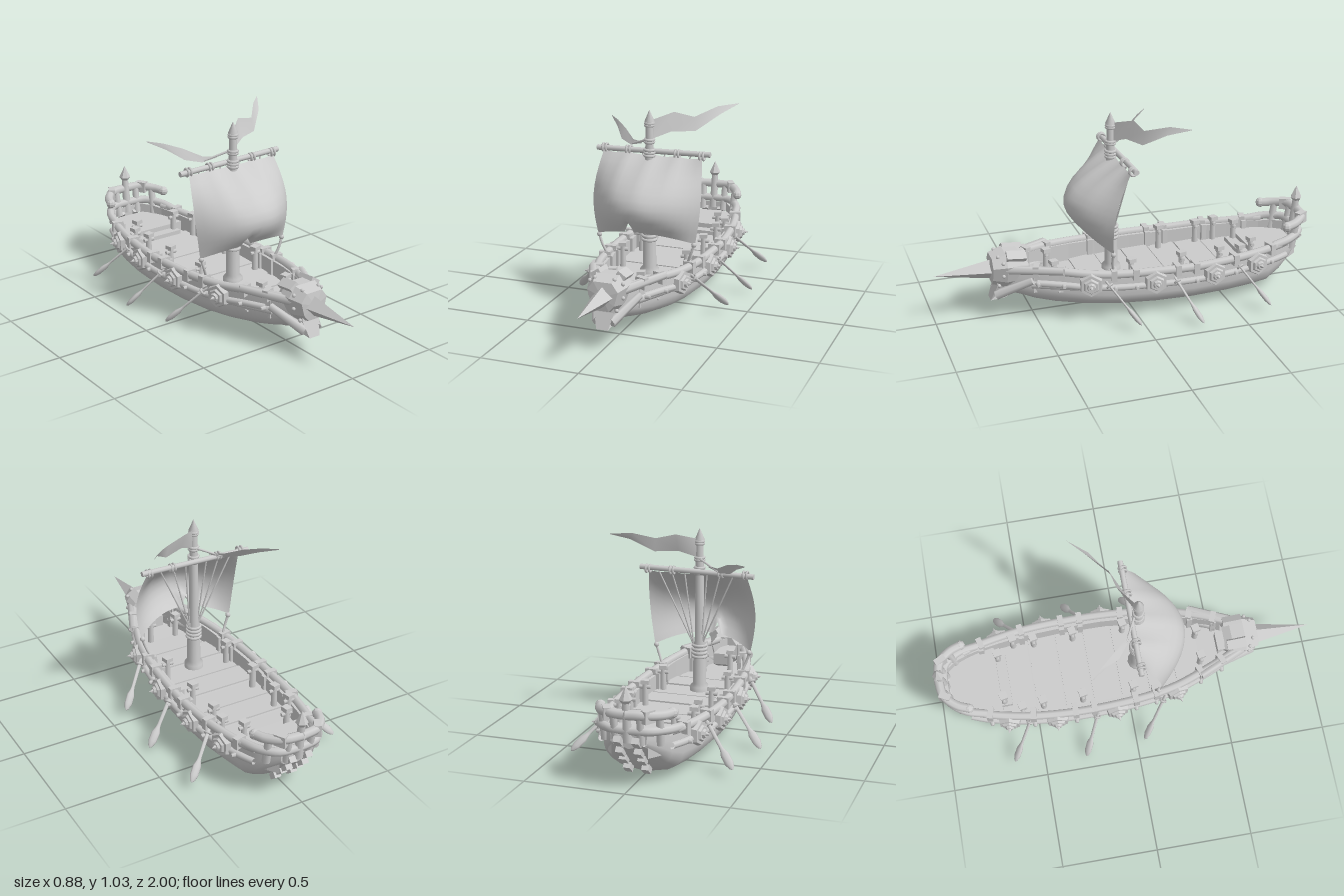
import * as THREE from 'three';

const smooth = new THREE.MeshStandardMaterial({ color: 0xcccccc, side: THREE.DoubleSide });
const flat = new THREE.MeshStandardMaterial({ color: 0xcccccc, side: THREE.DoubleSide, flatShading: true });
const V = (p) => new THREE.Vector3(...p);
const UP = new THREE.Vector3(0, 1, 0);

// Hull stations: z, half width, keel height, rail height
const STATIONS = [
  [0.68, 0.03, 0.17, 0.29], [0.6, 0.07, 0.125, 0.29], [0.5, 0.115, 0.085, 0.285], [0.4, 0.155, 0.06, 0.28],
  [0.25, 0.205, 0.037, 0.265], [0.1, 0.232, 0.022, 0.255], [-0.1, 0.248, 0.01, 0.25], [-0.3, 0.25, 0.005, 0.245],
  [-0.5, 0.237, 0.005, 0.25], [-0.65, 0.213, 0.007, 0.255], [-0.74, 0.193, 0.012, 0.26], [-0.82, 0.168, 0.065, 0.265],
  [-0.88, 0.14, 0.13, 0.27], [-0.94, 0.09, 0.2, 0.275],
];

function hullAt(z) {
  let i = 0;
  while (i < STATIONS.length - 2 && z < STATIONS[i + 1][0]) i++;
  const a = STATIONS[i], b = STATIONS[i + 1], t = (z - a[0]) / (b[0] - a[0]);
  const [w, k, r] = [1, 2, 3].map((j) => a[j] + (b[j] - a[j]) * t);
  return { w, k, r };
}

// Skin through a row of cross-sections
function loft(sections) {
  const n = sections[0].length, idx = [];
  for (let i = 0; i < sections.length - 1; i++)
    for (let j = 0; j < n - 1; j++) {
      const a = i * n + j, b = a + n;
      idx.push(a, b, a + 1, b, b + 1, a + 1);
    }
  const g = new THREE.BufferGeometry();
  g.setAttribute('position', new THREE.Float32BufferAttribute(sections.flat(2), 3));
  g.setIndex(idx);
  g.computeVertexNormals();
  return g;
}

export function createModel() {
  const root = new THREE.Group();
  const add = (name, geo, mat = smooth, pos = [0, 0, 0], parent = root) => {
    const m = new THREE.Mesh(geo, mat);
    m.name = name;
    m.position.set(...pos);
    parent.add(m);
    return m;
  };
  const box = (name, size, pos, rot = [0, 0, 0]) => {
    const m = add(name, new THREE.BoxGeometry(...size), flat, pos);
    m.rotation.set(...rot);
    return m;
  };
  const rod = (name, a, b, r0, r1 = r0, sides = 8) => {
    const d = V(b).sub(V(a));
    const m = add(name, new THREE.CylinderGeometry(r1, r0, d.length(), sides), smooth, V(a).lerp(V(b), 0.5).toArray());
    m.quaternion.setFromUnitVectors(UP, d.normalize());
    return m;
  };
  const tube = (name, pts, r, seg = 40) =>
    add(name, new THREE.TubeGeometry(new THREE.CatmullRomCurve3(pts.map(V)), seg, r, 8), smooth);

  // Hull skin
  const RIB = [[1, 1], [1.02, 0.75], [1.01, 0.5], [0.95, 0.34], [0.82, 0.22], [0.62, 0.13], [0.3, 0.08], [0.07, 0.05]];
  add('hull', loft(STATIONS.map(([z, w, k, r]) => {
    const half = RIB.map(([x, y]) => [x * w, k + y * (r - k), z]);
    return [...half, [0, k, z], ...half.map(([x, y]) => [-x, y, z]).reverse()];
  })));
  const end = STATIONS[STATIONS.length - 1];
  const transom = new THREE.Shape([[-1, 1], [1, 1], [0.95, 0.4], [0, 0], [-0.95, 0.4]]
    .map(([x, y]) => new THREE.Vector2(x * end[1], end[2] + y * (end[3] - end[2]))));
  add('transom', new THREE.ShapeGeometry(transom), flat, [0, 0, end[0]]);

  // Gunwale cap, inner walls and deck
  add('deck', loft(STATIONS.map(([z, w, k, r]) => {
    const y = Math.max(0.17, k + 0.02), half = [[w, r], [w * 0.88, r], [w * 0.88, y]];
    return [...half.map(([x, h]) => [x, h, z]), [0, y, z], ...half.map(([x, h]) => [-x, h, z]).reverse()];
  })), flat);
  for (let i = 0; i < 7; i++) {
    const z = 0.33 - i * 0.15;
    box('deckPlank', [hullAt(z - 0.04).w * 1.72, 0.008, 0.14], [0, 0.172 + (i % 2) * 0.005, z], [0.03, 0, 0]);
  }
  const platform = [-0.68, -0.74, -0.82, -0.88, -0.93];
  add('sternPlatform', loft(platform.map((z) => {
    const w = hullAt(z).w * 0.9;
    return [[w, 0.16, z], [w, 0.225, z], [-w, 0.225, z], [-w, 0.16, z]];
  })), flat);
  box('platformStep', [0.36, 0.055, 0.012], [0, 0.197, -0.68]);
  box('platformTread', [0.28, 0.025, 0.06], [0, 0.187, -0.65]);

  for (const s of [1, -1]) {
    // Rails along the sides
    const zs = [0.62, 0.5, 0.4, 0.25, 0.1, -0.1, -0.3, -0.5, -0.65, -0.76, -0.84];
    tube('upperRail', zs.map((z) => [s * (hullAt(z).w + 0.006), hullAt(z).r + 0.005, z]), 0.022, 60);
    tube('lowerRail', zs.slice(1).map((z) => [s * (hullAt(z).w + 0.014), hullAt(z).r - 0.065, z]), 0.017, 60);
    tube('sternRail', [[s * 0.19, 0.27, -0.76], [s * 0.165, 0.285, -0.86], [s * 0.1, 0.295, -0.94], [0, 0.295, -0.955]], 0.022, 16);

    // Rail clamps and inner ribs
    for (const z of [0.5, 0.38, 0.13, 0.02, -0.2, -0.3, -0.52, -0.74]) {
      const { w, r } = hullAt(z), yaw = -s * Math.atan2(hullAt(z + 0.03).w - hullAt(z - 0.03).w, -0.06);
      box('railClamp', [0.06, 0.058, 0.03], [s * (w + 0.003), r + 0.002, z], [0, yaw, 0]);
      box('rib', [0.025, r - 0.15, 0.028], [s * w * 0.87, (r + 0.17) / 2, z]);
      rod('clampStud', [s * (w + 0.02), r - 0.065, z], [s * (w + 0.045), r - 0.065, z], 0.014, 0.009, 6);
    }

    // Mooring cleats
    for (const [x, z] of [[0.075, 0.4], [0.175, 0.02], [0.175, -0.25], [0.175, -0.46], [0.19, -0.57], [0.12, -0.66]]) {
      rod('cleatPost', [s * x, 0.17, z], [s * x, 0.29, z], 0.017, 0.014, 8);
      rod('cleatBar', [s * (x - 0.03), 0.27, z], [s * (x + 0.03), 0.27, z], 0.01, 0.01, 6);
      box('cleatCap', [0.04, 0.02, 0.04], [s * x, 0.298, z], [0, 0.2, 0.05]);
    }

    // Hexagonal shields with a boss and spike
    for (const z of [0.25, -0.08, -0.4, -0.65]) {
      const { w, r } = hullAt(z), g = new THREE.Group();
      g.name = 'shield';
      g.position.set(s * (w + 0.03), r - 0.047, z);
      g.rotation.y = Math.atan2((hullAt(z - 0.04).w - hullAt(z + 0.04).w) * s, 0.08) * s + (s > 0 ? 0 : Math.PI);
      if (s > 0) g.rotation.y *= -1;
      root.add(g);
      const disc = (name, r0, r1, h, x, sides) => {
        const geo = new THREE.CylinderGeometry(r1, r0, h, sides).rotateY(Math.PI / 2).rotateZ(-Math.PI / 2);
        add(name, geo, flat, [x, 0, 0], g);
      };
      disc('shieldPlate', 0.066, 0.058, 0.026, 0, 6);
      disc('shieldRim', 0.045, 0.036, 0.014, 0.017, 6);
      disc('shieldBoss', 0.026, 0.018, 0.016, 0.028, 8);
      disc('shieldSpike', 0.014, 0, 0.03, 0.043, 6);
    }

    // Oars with flattened blades
    const profile = [[0, 0], [0.01, 0.01], [0.009, 0.17], [0.011, 0.19], [0.021, 0.22], [0.021, 0.27], [0.012, 0.3], [0, 0.312]];
    for (const [a, b] of [[[0.245, 0.24, 0.18], [0.41, 0.045, 0.04]], [[0.262, 0.22, -0.18], [0.44, 0.02, -0.28]],
      [[0.235, 0.235, -0.53], [0.41, 0.045, -0.66]]]) {
      const A = V([a[0] * s, a[1], a[2]]), d = V([b[0] * s, b[1], b[2]]).sub(A);
      const oar = add('oar', new THREE.LatheGeometry(profile.map((p) => new THREE.Vector2(...p)), 10), smooth, A.toArray());
      oar.quaternion.setFromUnitVectors(UP, d.clone().normalize());
      oar.scale.set(0.6, d.length() / 0.312, 1);
      const lock = add('oarLock', new THREE.TorusGeometry(0.015, 0.006, 6, 12), smooth, A.addScaledVector(d, 0.12).toArray());
      lock.quaternion.setFromUnitVectors(new THREE.Vector3(0, 0, 1), d.normalize());
    }

    // Bow guard beams
    rod('bowUpperBeam', [s * 0.07, 0.29, 0.64], [s * 0.19, 0.295, 0.38], 0.025, 0.02, 6);
    rod('bowLowerBeam', [s * 0.035, 0.14, 0.69], [s * 0.115, 0.23, 0.52], 0.026, 0.02, 6);
    rod('bowSideBeam', [s * 0.1, 0.205, 0.52], [s * 0.2, 0.2, 0.3], 0.022, 0.018, 6);
    box('bowEar', [0.05, 0.025, 0.1], [s * 0.065, 0.355, 0.59], [-0.1, 0, -s * 0.6]);
    for (const [x, y, z] of [[0.085, 0.33, 0.66], [0.085, 0.26, 0.66], [0.05, 0.355, 0.68], [0.06, 0.2, 0.68]])
      add('stud', new THREE.SphereGeometry(0.01, 8, 6), smooth, [s * x, y, z]);

    // Stern arch and its posts
    tube('sternArch', [[s * 0.175, 0.36, -0.84], [s * 0.15, 0.365, -0.9], [s * 0.09, 0.375, -0.96], [0, 0.375, -0.975]], 0.024, 16);
    add('archEnd', new THREE.SphereGeometry(0.026, 8, 6), flat, [s * 0.175, 0.36, -0.84]);
    rod('archPost', [s * 0.135, 0.22, -0.885], [s * 0.14, 0.37, -0.91], 0.022, 0.018);
    rod('archPost', [s * 0.06, 0.23, -0.94], [s * 0.065, 0.38, -0.965], 0.02, 0.018);
    box('archClamp', [0.035, 0.06, 0.06], [s * 0.1, 0.37, -0.952], [0, s * 0.5, 0]);

    // Sail sheets and shrouds
    tube('sheetRope', [[s * 0.255, 0.375, 0.14], [s * 0.24, 0.33, 0.14], [s * 0.22, 0.28, 0.13]], 0.007, 8);
    add('sheetKnot', new THREE.SphereGeometry(0.014, 8, 6), smooth, [s * 0.255, 0.38, 0.14]);
    for (const x of [0.06, 0.13, 0.2]) rod('shroud', [s * x, 0.81, 0.03], [s * 0.02, 0.42, 0.06], 0.004, 0.004, 5);
    for (const x of [0.13, 0.26])
      for (const d of [-0.009, 0.009]) {
        const lash = add('yardLashing', new THREE.TorusGeometry(0.019, 0.006, 6, 12), smooth, [s * x + d, 0.813, 0.04]);
        lash.rotation.y = Math.PI / 2;
      }
  }

  // Figurehead collar, lower beak and ram
  const HEAD = [[-0.1, 0.31], [-0.06, 0.365], [0.06, 0.365], [0.1, 0.31], [0.075, 0.22], [0.04, 0.18], [-0.04, 0.18], [-0.075, 0.22], [-0.1, 0.31]];
  add('figurehead', loft([[0.53, 0.7], [0.57, 0.95], [0.64, 1], [0.71, 0.78], [0.72, 0.01]]
    .map(([z, k]) => HEAD.map(([x, y]) => [x * k, 0.275 + (y - 0.275) * k, z]))), flat);
  const beak = [[0.72, 0.11], [0.65, 0.115], [0.5, 0.19], [0.5, 0.25], [0.68, 0.25], [0.69, 0.19]];
  add('beak', loft([[-0.01, 0], [-0.03, 1], [0.03, 1], [0.01, 0]].map(([x, open]) =>
    [...beak, beak[0]].map(([z, y]) => open ? [x * (y > 0.15 ? 1.7 : 1), y, z] : [x, 0.2, 0.6]))), flat);
  add('ram', new THREE.ConeGeometry(0.056, 0.31, 4).rotateX(Math.PI / 2), flat, [0, 0.272, 0.845]);

  // Stern finial and keel cleats
  rod('sternPost', [0, 0.24, -0.95], [0, 0.43, -0.968], 0.024, 0.018);
  add('finial', new THREE.LatheGeometry([[0, 0], [0.016, 0], [0.016, 0.015], [0.031, 0.035], [0, 0.1]]
    .map((p) => new THREE.Vector2(...p)), 6), flat, [0, 0.41, -0.968]);
  for (const [y, z] of [[0.07, -0.83], [0.13, -0.88], [0.18, -0.925], [0.24, -0.955]])
    for (const x of [-0.045, 0.045]) box('sternCleat', [0.035, 0.03, 0.05], [x, y, z], [0.7, 0, 0]);

  // Mast with rope bands and pointed cap
  const MX = -0.008, MZ = 0.07;
  add('mast', new THREE.LatheGeometry([[0.05, 0.16], [0.05, 0.2], [0.035, 0.215], [0.033, 0.42], [0.026, 0.45], [0.022, 0.81], [0.019, 0.955],
    [0.016, 0.96], [0.026, 0.975], [0, 1.035]].map((p) => new THREE.Vector2(...p)), 12), smooth, [MX, 0, MZ]);
  for (const [y, r] of [[0.36, 0.035], [0.38, 0.035], [0.4, 0.035], [0.42, 0.034], [0.8, 0.024], [0.815, 0.024], [0.83, 0.024], [0.87, 0.022], [0.882, 0.022], [0.955, 0.02], [0.966, 0.02]])
    add('ropeBand', new THREE.TorusGeometry(r, 0.008, 6, 14).rotateX(Math.PI / 2), smooth, [MX, y, MZ]);
  rod('yard', [-0.305, 0.808, 0.035], [0.302, 0.822, 0.035], 0.014, 0.014, 10);

  // Billowing sail with a torn lower edge
  const sail = new THREE.PlaneGeometry(2, 1, 20, 10), p = sail.attributes.position;
  for (let i = 0; i < p.count; i++) {
    const u = p.getX(i), v = 0.5 - p.getY(i), c = 1 - u * u;
    const tear = Math.abs(u + 0.2) < 0.01 ? (v > 0.99 ? 0.06 : v > 0.89 ? 0.03 : 0) : 0;
    const top = 0.805 - 0.01 * Math.abs(Math.sin(u * Math.PI * 2)), bottom = 0.385 + 0.06 * c;
    p.setXYZ(i, u * (0.262 + 0.025 * Math.sin(Math.PI * v)), top + (bottom - top) * v + tear,
      0.05 + 0.09 * v + 0.04 * Math.sin(Math.PI * v) + 0.17 * c * Math.sin(Math.PI * 0.8 * v));
  }
  sail.computeVertexNormals();
  add('sail', sail);

  // Streaming pennants: upper edge, lower edge
  add('upperPennant', loft([
    [[0, 0.98, 0.06], [0.09, 1.012, -0.02], [0.19, 0.99, -0.04], [0.28, 1.03, -0.14], [0.365, 1.036, -0.22]],
    [[0.005, 0.885, 0.06], [0.09, 0.92, 0.02], [0.2, 0.92, -0.03], [0.3, 0.995, -0.12], [0.365, 1.033, -0.22]]]));
  add('lowerPennant', loft([
    [[-0.07, 0.852, 0.02], [-0.13, 0.852, -0.02], [-0.2, 0.888, -0.09], [-0.27, 0.91, -0.16], [-0.33, 0.917, -0.22]],
    [[-0.07, 0.845, 0.02], [-0.14, 0.825, -0.01], [-0.21, 0.838, -0.06], [-0.265, 0.88, -0.14], [-0.33, 0.913, -0.22]]]));
  rod('pennantRope', [0, 0.885, 0.06], [-0.13, 0.832, -0.01], 0.007, 0.005, 6);

  return root;
}
